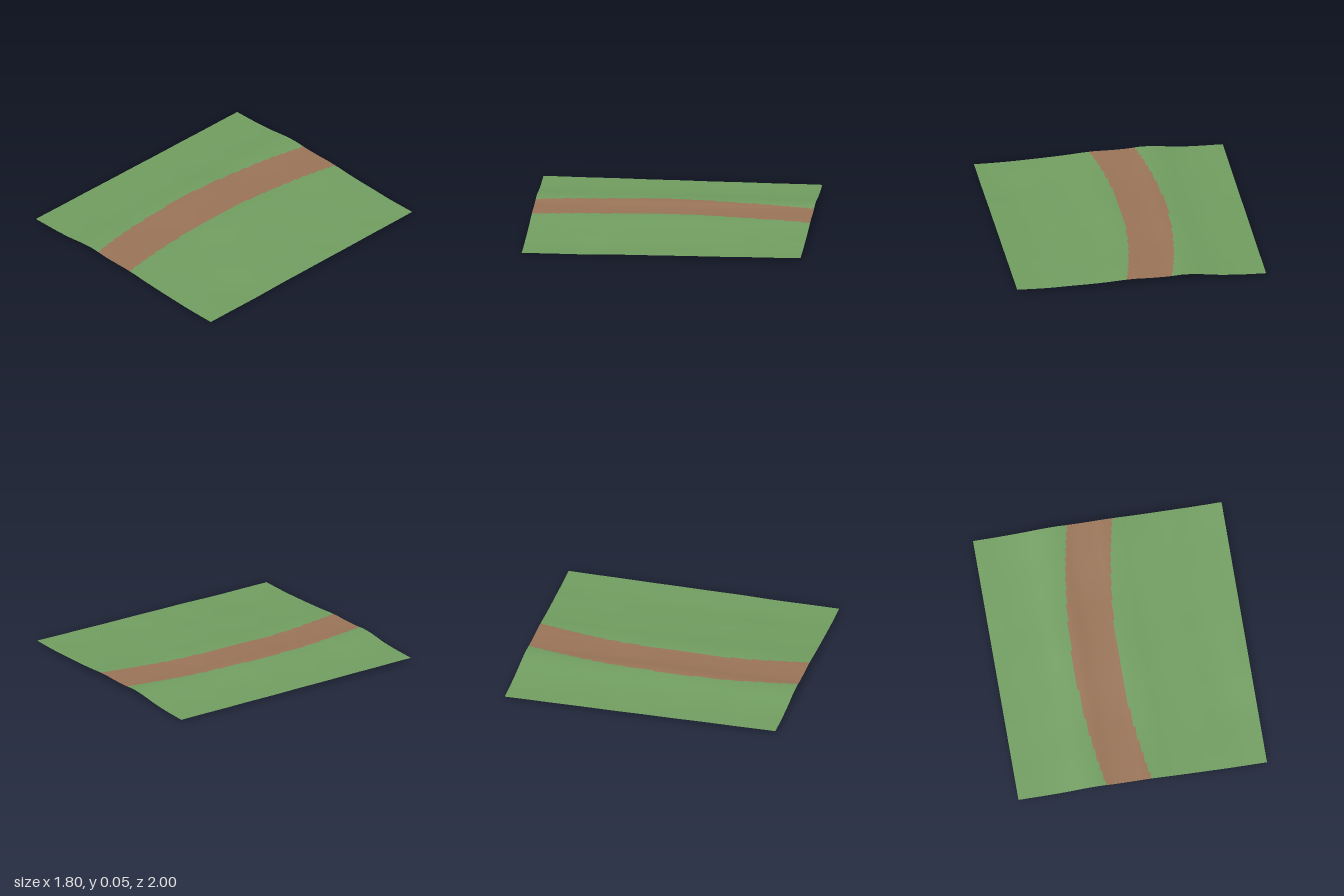
import * as THREE from 'three';

const WIDTH = 1.8, DEPTH = 2, NX = 144, NZ = 160;

// Smooth curve through [position, value] pairs
function curve(points) {
  const c = new THREE.CubicInterpolant(points.map(p => p[0]), points.map(p => p[1]), 1, [0]);
  return t => c.evaluate(t)[0];
}

// Cross-section of the low ridge that carries the path
const ridge = curve([
  [-0.9, 0.019], [-0.7, 0.023], [-0.55, 0.031], [-0.4, 0.047], [-0.3, 0.05], [-0.2, 0.042],
  [-0.05, 0.04], [0.02, 0.042], [0.12, 0.039], [0.22, 0.032], [0.32, 0.027],
  [0.5, 0.021], [0.65, 0.016], [0.9, 0.017],
]);

// Ground height: ridge, slight twist across the sheet, soft undulation
function height(x, z) {
  const twist = -0.0065 * x * z / 0.9;
  const swell = 0.003 * Math.cos(6.3 * z) * Math.exp(-9 * (x + 0.15) ** 2);
  const dip = -0.005 * Math.exp(-((x - 0.75) ** 2) / 0.06 - ((z - 0.6) ** 2) / 0.06);
  const ripple = 0.0008 * Math.sin(11 * x + 5 * z) * Math.sin(9 * z - 6 * x + 1);
  return ridge(x) + twist + swell + dip + ripple;
}

// Path centre line bends gently towards -x in the middle
const pathCentre = z => -0.182 + 0.104 * (z - 0.1) ** 2;
const PATH_HALF = 0.164;

export function createModel() {
  const grass = new THREE.MeshStandardMaterial({ color: 0x73a062, side: THREE.DoubleSide });
  grass.name = 'grass';
  const dirt = new THREE.MeshStandardMaterial({ color: 0x9c7659, side: THREE.DoubleSide });
  dirt.name = 'dirt';

  // Ground sheet
  const geo = new THREE.PlaneGeometry(WIDTH, DEPTH, NX, NZ).rotateX(-Math.PI / 2);
  const pos = geo.attributes.position;
  for (let i = 0; i < pos.count; i++) pos.setY(i, height(pos.getX(i), pos.getZ(i)));

  // Sort grid cells into grass and path, giving the stepped path edge
  const cells = [[], []];
  const index = geo.index.array;
  for (let i = 0; i < index.length; i += 6) {
    const cell = i / 6;
    const x = ((cell % NX) + 0.5) / NX * WIDTH - WIDTH / 2;
    const z = (Math.floor(cell / NX) + 0.5) / NZ * DEPTH - DEPTH / 2;
    const onPath = Math.abs(x - pathCentre(z)) < PATH_HALF ? 1 : 0;
    cells[onPath].push(...index.slice(i, i + 6));
  }
  geo.setIndex([...cells[0], ...cells[1]]);
  geo.clearGroups();
  geo.addGroup(0, cells[0].length, 0);
  geo.addGroup(cells[0].length, cells[1].length, 1);
  geo.computeVertexNormals();

  const ground = new THREE.Mesh(geo, [grass, dirt]);
  ground.name = 'groundWithPath';
  const model = new THREE.Group();
  model.name = 'terrain';
  model.add(ground);
  return model;
}
